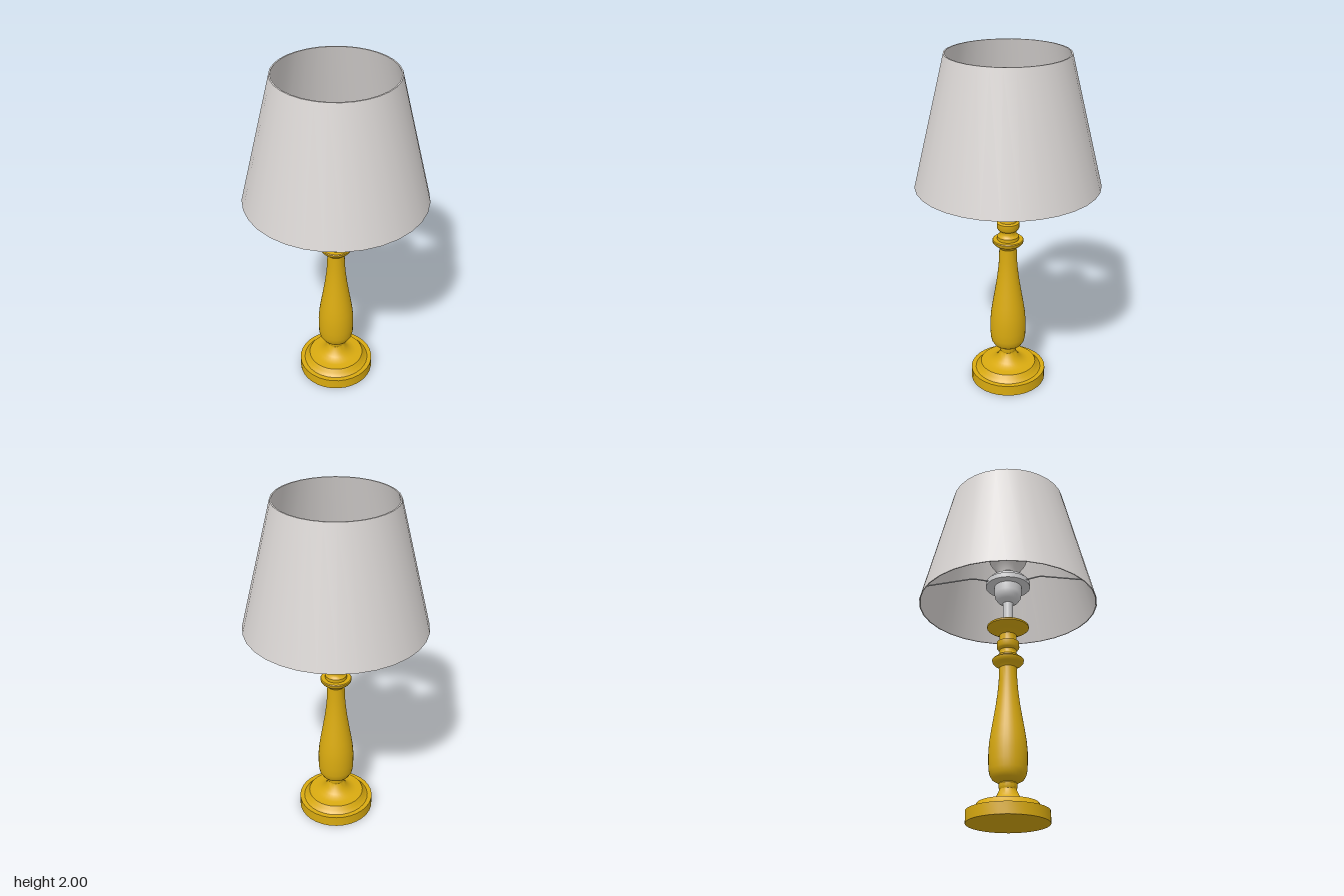
import * as THREE from 'three';
import { toCreasedNormals } from 'three/addons/utils/BufferGeometryUtils.js';

const material = (name, color) => {
  const m = new THREE.MeshStandardMaterial({ color });
  m.name = name;
  return m;
};

export function createModel() {
  const lamp = new THREE.Group();
  lamp.name = 'tableLamp';
  const gold = material('gold', 0xd9aa10);
  const fabric = material('shadeFabric', 0xd9d5d3);
  const metal = material('paleMetal', 0xd3d3d5);

  const add = (name, geometry, mat, parent = lamp) => {
    const mesh = new THREE.Mesh(geometry, mat);
    mesh.name = name;
    parent.add(mesh);
    return mesh;
  };
  // Turned part from [radius, height] pairs, listed bottom to top
  const turned = (name, profile, mat) => {
    const points = profile.map(([r, y]) => new THREE.Vector2(r, y));
    return add(name, toCreasedNormals(new THREE.LatheGeometry(points, 32), 0.6), mat);
  };

  // Stepped foot with a concave neck
  turned('foot', [
    [0, 0], [0.224, 0], [0.224, 0.065], [0.197, 0.065], [0.187, 0.073], [0.178, 0.085],
    [0.165, 0.105], [0.125, 0.105], [0.1, 0.112], [0.08, 0.125], [0.062, 0.145],
    [0.05, 0.17], [0.046, 0.18], [0.05, 0.19], [0.05, 0.21], [0.045, 0.217],
  ], gold);

  // Vase-shaped column
  turned('column', [
    [0.04, 0.213], [0.06, 0.22], [0.085, 0.235], [0.098, 0.257], [0.104, 0.285],
    [0.106, 0.33], [0.106, 0.39], [0.101, 0.45], [0.092, 0.51], [0.08, 0.58],
    [0.067, 0.66], [0.058, 0.73], [0.052, 0.8], [0.05, 0.88],
  ], gold);

  // Collar, bead rings and flared drip tray
  turned('collar', [
    [0.05, 0.875], [0.06, 0.89], [0.078, 0.9], [0.088, 0.912], [0.09, 0.925],
    [0.086, 0.93], [0.062, 0.93], [0.062, 0.95], [0.053, 0.957], [0.047, 0.97],
    [0.048, 0.985], [0.058, 0.993], [0.064, 1.003], [0.064, 1.035], [0.05, 1.042],
    [0.048, 1.06], [0.048, 1.08], [0.055, 1.088], [0.08, 1.103], [0.108, 1.118],
    [0.12, 1.127], [0.12, 1.137], [0.114, 1.142], [0, 1.142],
  ], gold);

  // Stem and lamp holder
  turned('stem', [
    [0.036, 1.14], [0.036, 1.16], [0.029, 1.16], [0.029, 1.3],
  ], metal);
  turned('socket', [
    [0, 1.285], [0.035, 1.288], [0.06, 1.302], [0.075, 1.325], [0.08, 1.35],
    [0.08, 1.395], [0.13, 1.395], [0.13, 1.425], [0.108, 1.425], [0.108, 1.45],
    [0.07, 1.46], [0.06, 1.48], [0, 1.48],
  ], metal);

  // Pear-shaped bulb
  const bulb = [[0.058, 1.475], [0.066, 1.5], [0.085, 1.53]];
  for (let i = 0; i <= 12; i++) {
    const a = -0.55 + (i / 12) * (Math.PI / 2 + 0.55);
    bulb.push([Math.max(0, 0.117 * Math.cos(a)), 1.61 + 0.117 * Math.sin(a)]);
  }
  turned('bulb', bulb, fabric);

  // Thin-walled tapered shade
  turned('shade', [
    [0.511, 1.27], [0.517, 1.27], [0.337, 2], [0.329, 2], [0.511, 1.27],
  ], fabric);

  // Three bent wires carrying the shade
  const path = new THREE.CurvePath();
  const bends = [[0.11, 1.41], [0.225, 1.4], [0.505, 1.285]]
    .map(([r, y]) => new THREE.Vector3(0, y, r));
  path.add(new THREE.LineCurve3(bends[0], bends[1]));
  path.add(new THREE.LineCurve3(bends[1], bends[2]));
  const wire = new THREE.TubeGeometry(path, 16, 0.004, 6);
  for (let i = 0; i < 3; i++) {
    add('shadeWire', wire, metal).rotation.y = (i * Math.PI * 2) / 3;
  }
  return lamp;
}
